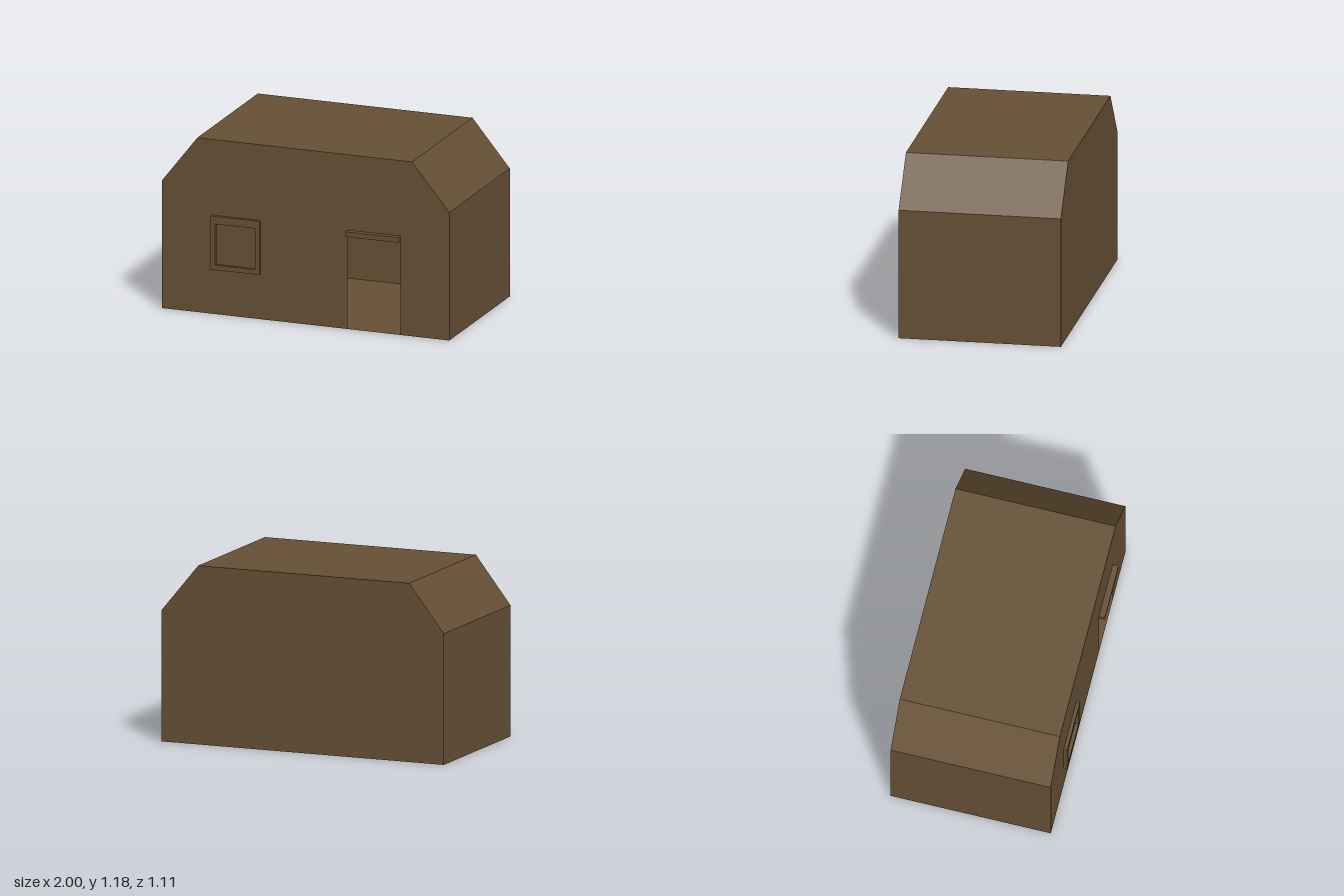
import * as THREE from 'three';

export function createModel() {
  const model = new THREE.Group();
  model.name = 'hut';
  const brown = new THREE.MeshStandardMaterial({ color: 0x665035, side: THREE.DoubleSide });
  brown.name = 'brown';

  const FRONT = 0.515, BACK = -0.555, DEPTH = FRONT - BACK;
  // Gable outline, counter-clockwise from the bottom left
  const outline = [[-1, 0], [1, 0], [1, 0.866], [0.74, 1.18], [-0.755, 1.18], [-1, 0.866]];
  const door = { x0: 0.29, x1: 0.66, top: 0.635 };

  const add = (name, geometry, x = 0, y = 0, z = 0) => {
    const mesh = new THREE.Mesh(geometry, brown);
    mesh.name = name;
    mesh.position.set(x, y, z);
    model.add(mesh);
    return mesh;
  };
  const shapeOf = (points) => new THREE.Shape(points.map(([x, y]) => new THREE.Vector2(x, y)));

  // Thin front wall with an open doorway cut up from the ground
  const frontOutline = [
    outline[0], [door.x0, 0], [door.x0, door.top], [door.x1, door.top], [door.x1, 0],
    ...outline.slice(1),
  ];
  add('frontWall', new THREE.ShapeGeometry(shapeOf(frontOutline)), 0, 0, FRONT);

  // Thin back wall, turned to face backwards
  const backOutline = outline.map(([x, y]) => [-x, y]).reverse();
  add('backWall', new THREE.ShapeGeometry(shapeOf(backOutline)), 0, 0, BACK).rotation.y = Math.PI;

  // Floor, side walls and roof panels: one sheet per outline edge
  const names = ['floor', 'leftWall', 'leftRoofSlope', 'roofTop', 'rightRoofSlope', 'rightWall'];
  outline.forEach(([x0, y0], i) => {
    const [x1, y1] = outline[(i + 1) % outline.length];
    const sheet = new THREE.BufferGeometry();
    sheet.setAttribute('position', new THREE.Float32BufferAttribute([
      x0, y0, FRONT, x0, y0, BACK, x1, y1, BACK, x1, y1, FRONT,
    ], 3));
    sheet.setIndex([0, 1, 2, 0, 2, 3]);
    sheet.computeVertexNormals();
    add(names[i], sheet);
  });

  // Raised square window frame
  const frame = shapeOf([[-0.655, 0.305], [-0.315, 0.305], [-0.315, 0.668], [-0.655, 0.668]]);
  frame.holes.push(shapeOf([[-0.622, 0.338], [-0.622, 0.616], [-0.344, 0.616], [-0.344, 0.338]]));
  add('windowFrame', new THREE.ExtrudeGeometry(frame, { depth: 0.023, bevelEnabled: false }), 0, 0, FRONT);

  // Lintel over the doorway
  add('doorLintel', new THREE.BoxGeometry(door.x1 - door.x0, 0.034, 0.04),
    (door.x0 + door.x1) / 2, door.top + 0.017, FRONT + 0.02);

  return model;
}
